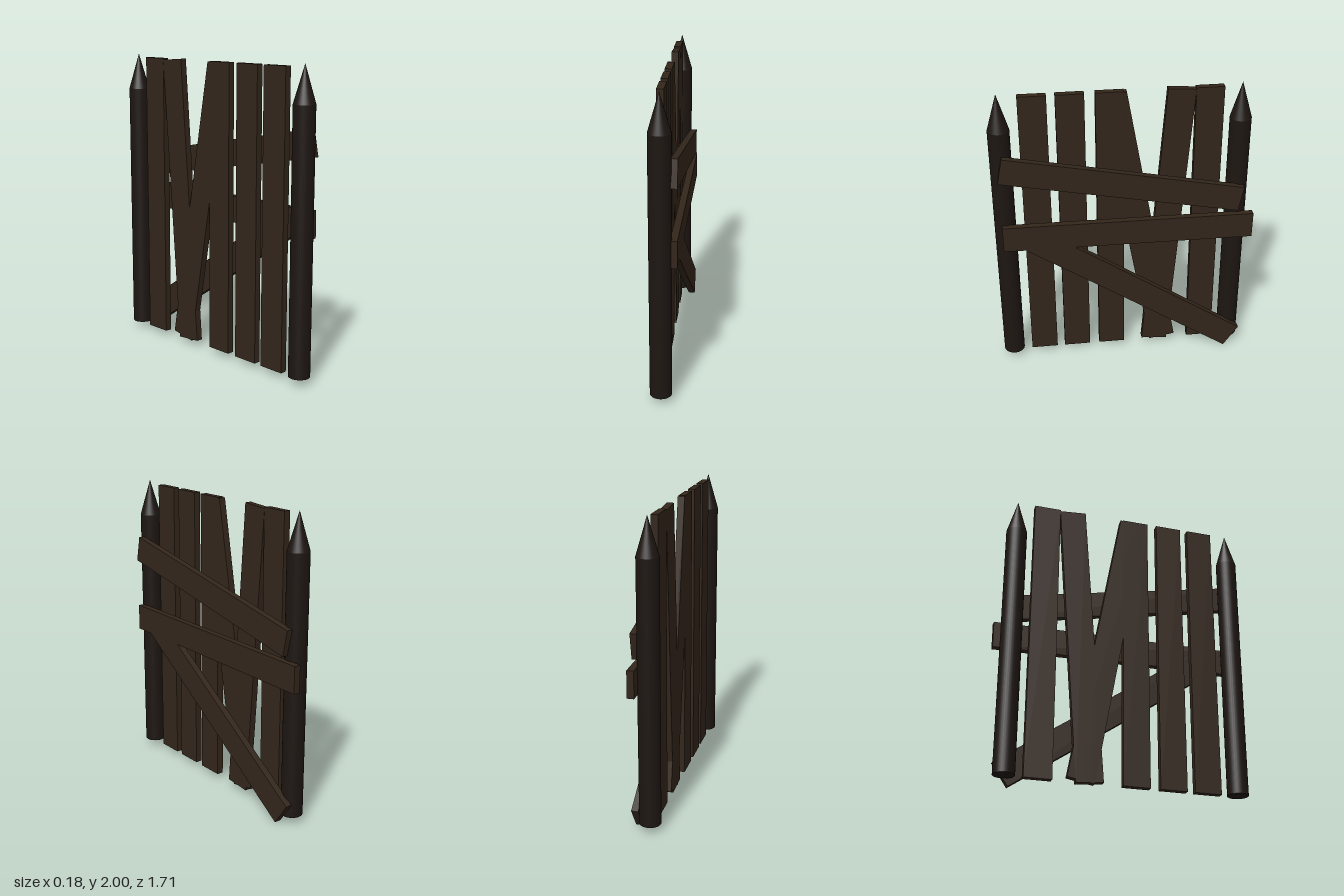
import * as THREE from 'three';

const wood = new THREE.MeshStandardMaterial({ color: 0x33261b });
const darkWood = new THREE.MeshStandardMaterial({ color: 0x1d1612 });
const rad = THREE.MathUtils.degToRad;

// A flat board in the fence plane, tilted about x by an angle in degrees
function board(name, x, height, length, y, z, tilt) {
  const mesh = new THREE.Mesh(new THREE.BoxGeometry(0.045, height, length), wood);
  mesh.name = name;
  mesh.position.set(x, y, z);
  mesh.rotation.x = rad(tilt);
  return mesh;
}

// Round post with a sharpened top
function post(name, z) {
  const group = new THREE.Group();
  group.name = name;
  const base = 0.05, shoulder = 1.76, tip = 2, radius = 0.07;
  const shaft = new THREE.Mesh(
    new THREE.CylinderGeometry(radius, radius, shoulder - base, 32), darkWood);
  shaft.name = 'postShaft';
  shaft.position.y = (base + shoulder) / 2;
  const point = new THREE.Mesh(
    new THREE.ConeGeometry(radius, tip - shoulder, 32, 1, true), darkWood);
  point.name = 'postPoint';
  point.position.y = (shoulder + tip) / 2;
  group.add(shaft, point);
  group.position.set(-0.02, 0, z);
  return group;
}

export function createModel() {
  const model = new THREE.Group();
  model.name = 'woodenFence';

  model.add(post('frontPost', 0.785), post('backPost', -0.748));

  // Upright planks: height of centre, z, tilt
  const planks = [
    [1.01, 0.57, 0],
    [1.01, 0.337, 0],
    [1.01, 0.09, 0],
    [1.007, -0.1, 10.2],
    [1.01, -0.29, -4.4],
    [1.01, -0.543, 0],
  ];
  planks.forEach(([y, z, tilt], i) =>
    model.add(board(`plank${i + 1}`, -0.028, 1.94, 0.18, y, z, tilt)));

  // Cross rails nailed over the planks
  model.add(
    board('upperRail', 0.063, 0.175, 1.59, 1.367, 0.016, -11.16),
    board('middleRail', 0.063, 0.177, 1.66, 1.012, -0.024, -0.35),
    board('diagonalBrace', 0.063, 0.18, 1.66, 0.54, -0.072, -34.1),
  );
  return model;
}
